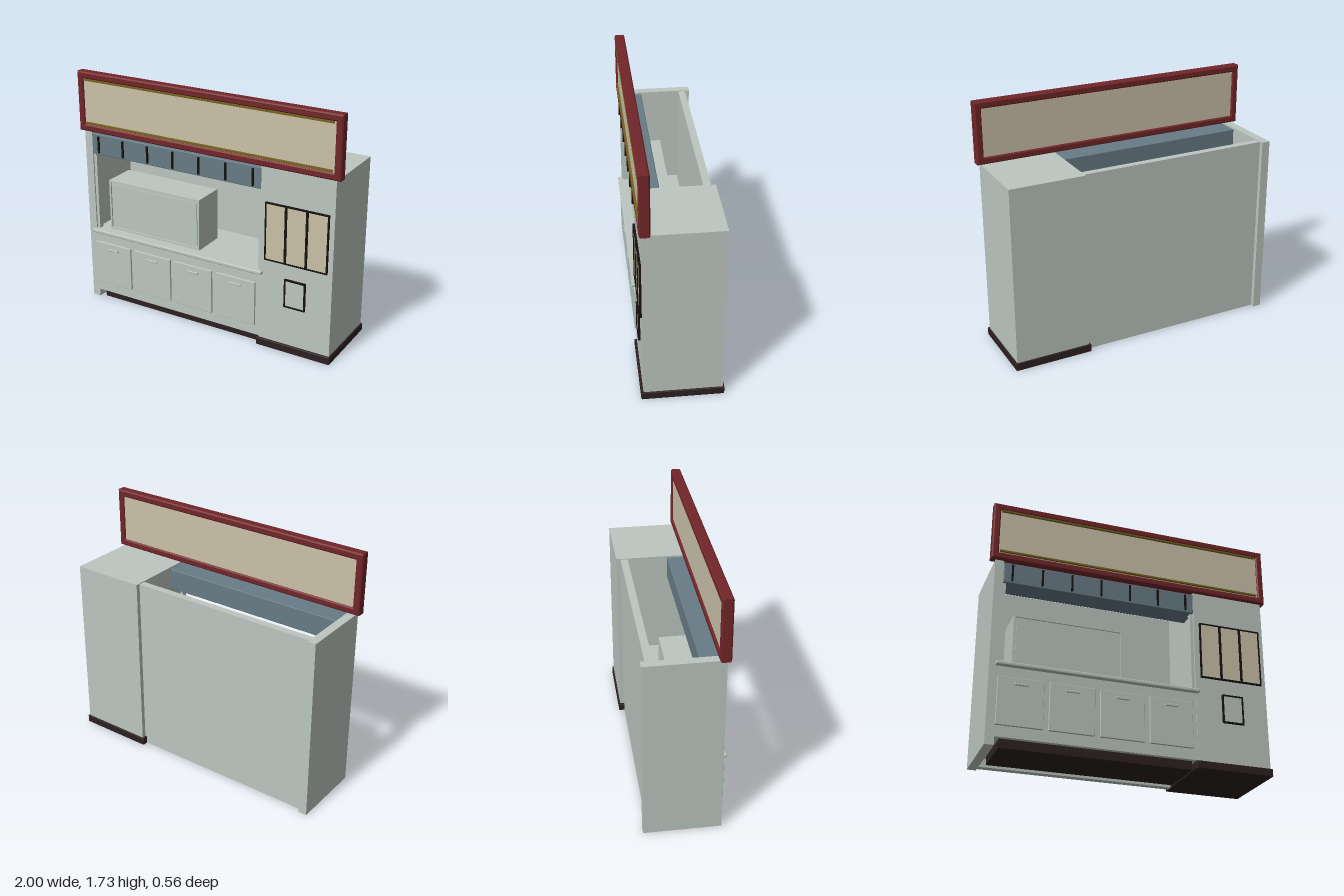
import * as THREE from 'three';
import { RoundedBoxGeometry } from 'three/addons/geometries/RoundedBoxGeometry.js';

const mat = (name, color) => {
  const m = new THREE.MeshStandardMaterial({ color });
  m.name = name;
  return m;
};

export function createModel() {
  const body = mat('pale grey green', 0xbcc6c0);
  const red = mat('dark red', 0x722629);
  const tan = mat('cream', 0xcbc1a8);
  const dark = mat('dark brown', 0x2c2021);
  const black = mat('near black', 0x15110f);
  const slate = mat('slate blue', 0x687b85);
  const brass = mat('brass', 0x75621f);

  const model = new THREE.Group();
  model.name = 'kitchenUnit';

  // Box given by its limits on each axis, optionally with rounded edges
  function box(name, material, [x0, x1], [y0, y1], [z0, z1], round = 0) {
    const size = [x1 - x0, y1 - y0, z1 - z0];
    const geo = round ? new RoundedBoxGeometry(...size, 2, round) : new THREE.BoxGeometry(...size);
    const mesh = new THREE.Mesh(geo, material);
    mesh.name = name;
    mesh.position.set((x0 + x1) / 2, (y0 + y1) / 2, (z0 + z1) / 2);
    model.add(mesh);
    return mesh;
  }

  // Upright rectangular frame with an open middle
  function frame(name, material, [x0, x1], [y0, y1], [z0, z1], border, bevel = 0) {
    const rect = (target, inset) => {
      target.moveTo(x0 + inset, y0 + inset);
      target.lineTo(x1 - inset, y0 + inset);
      target.lineTo(x1 - inset, y1 - inset);
      target.lineTo(x0 + inset, y1 - inset);
      target.closePath();
      return target;
    };
    const shape = rect(new THREE.Shape(), bevel);
    shape.holes.push(rect(new THREE.Path(), border - bevel));
    const geo = new THREE.ExtrudeGeometry(shape, {
      depth: z1 - z0 - 2 * bevel, bevelEnabled: bevel > 0,
      bevelSize: bevel, bevelThickness: bevel, bevelSegments: 1,
    });
    const mesh = new THREE.Mesh(geo, material);
    mesh.name = name;
    mesh.position.z = z0 + bevel;
    model.add(mesh);
  }

  // Carcass: end panel, back wall, tall cabinet, low cabinet
  box('endPanel', body, [-0.97, -0.91], [0.003, 1.295], [-0.27, 0.25]);
  box('backWall', body, [-0.91, 0.445], [0.003, 1.29], [-0.24, -0.19]);
  box('tallCabinet', body, [0.445, 0.97], [0.01, 1.295], [-0.27, 0.255]);
  box('tallCabinetPlinth', dark, [0.43, 0.98], [0, 0.055], [-0.28, 0.27], 0.005);
  box('lowCabinet', body, [-0.91, 0.445], [0.06, 0.535], [-0.19, 0.25]);
  box('toeKick', dark, [-0.875, 0.415], [0, 0.06], [-0.13, 0.22]);
  box('countertop', body, [-0.93, 0.465], [0.533, 0.56], [-0.19, 0.28], 0.008);

  // Low cabinet doors with bar handles
  for (let i = 0; i < 4; i++) {
    const x = -0.76 + i * 0.34;
    box('door', body, [x - 0.152, x + 0.152], [0.135, 0.46], [0.248, 0.265], 0.003);
    box('doorHandle', body, [x - 0.045, x + 0.045], [0.408, 0.422], [0.263, 0.275], 0.003);
  }

  // Slim posts at the sides of the niche
  box('leftPost', body, [-0.91, -0.887], [0.56, 1.135], [0.205, 0.24]);
  box('rightPost', body, [0.424, 0.445], [0.56, 1.135], [0.205, 0.24]);

  // Canopy with dark dividers
  box('canopy', slate, [-0.909, 0.445], [1.135, 1.285], [0.09, 0.253], 0.006);
  for (let i = 0; i < 7; i++) {
    const x = -0.85 + i * 0.2058;
    box('canopyDivider', black, [x - 0.006, x + 0.006], [1.15, 1.27], [0.25, 0.265]);
  }

  // Countertop appliance with a raised front
  box('appliance', body, [-0.815, -0.06], [0.56, 0.935], [-0.04, 0.195]);
  frame('applianceRim', body, [-0.815, -0.06], [0.562, 0.935], [0.195, 0.205], 0.014);
  box('applianceFront', body, [-0.795, -0.08], [0.592, 0.908], [0.195, 0.202]);

  // Framed panels on the tall cabinet
  for (let i = 0; i < 3; i++) {
    const x = 0.559 + i * 0.1505;
    frame('panelFrame', black, [x - 0.076, x + 0.076], [0.652, 1.062], [0.255, 0.27], 0.009);
    box('panelFace', tan, [x - 0.069, x + 0.069], [0.659, 1.055], [0.255, 0.264]);
  }
  frame('hatchFrame', black, [0.633, 0.787], [0.342, 0.545], [0.255, 0.27], 0.01);
  box('hatchFace', body, [0.641, 0.779], [0.35, 0.537], [0.255, 0.264]);

  // Sign board with frame and brass strips
  frame('signFrame', red, [-1, 1], [1.3, 1.725], [0.2, 0.27], 0.047, 0.008);
  box('signBoard', tan, [-0.957, 0.957], [1.342, 1.683], [0.212, 0.257]);
  for (const y of [1.36, 1.671])
    box('signStrip', brass, [-0.945, 0.94], [y - 0.006, y + 0.006], [0.255, 0.272]);

  return model;
}
